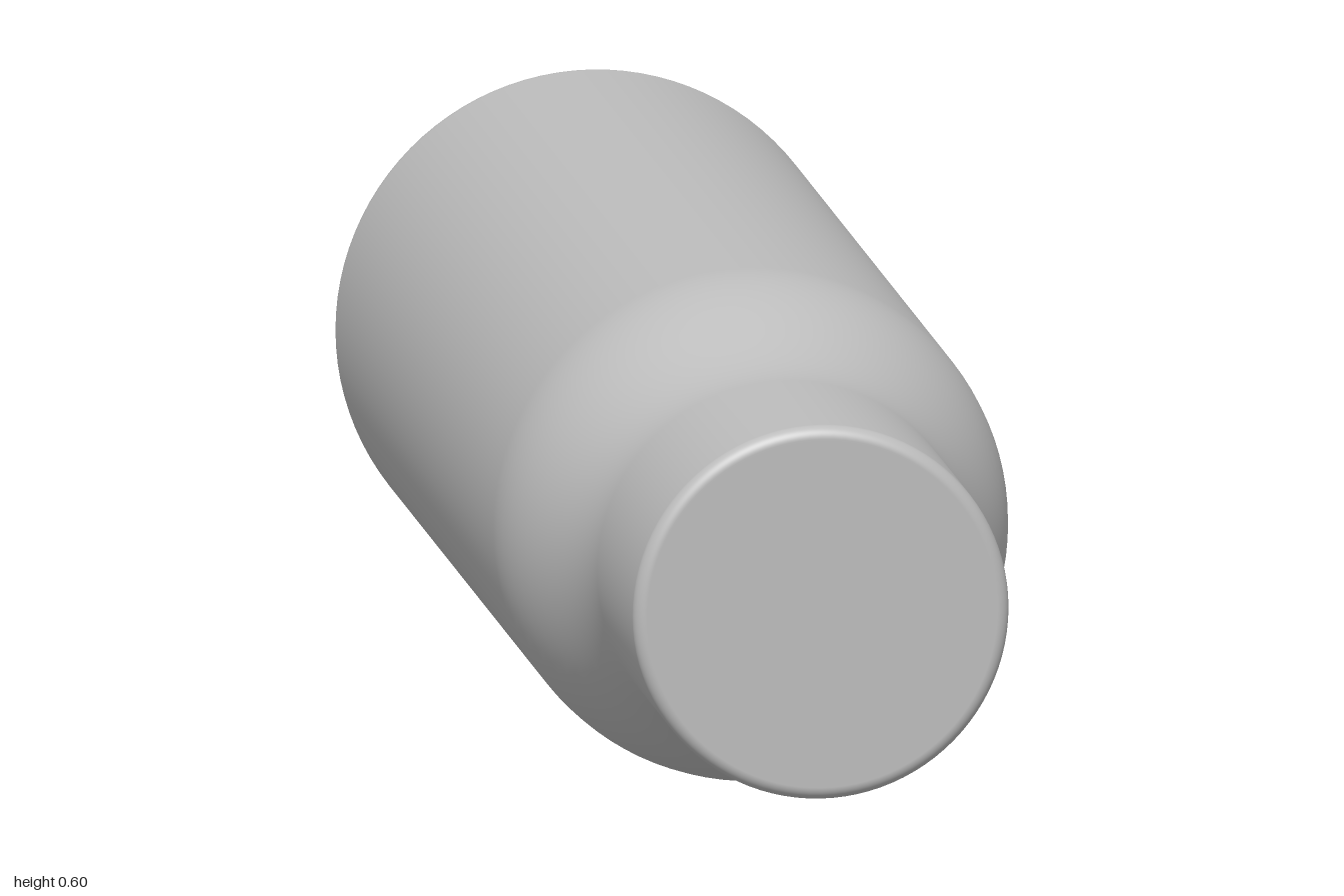
import * as THREE from 'three';

// Profile of radius (x) against length (y), from the closed back end to the front cap
function bodyProfile() {
  const path = new THREE.Path();
  path.moveTo(0, -1);
  path.lineTo(0.222, -1);
  path.absarc(0.225, -0.925, 0.075, -Math.PI / 2, 0, false); // rounded back rim
  path.lineTo(0.3, 0.39);
  path.bezierCurveTo(0.3, 0.52, 0.22, 0.57, 0.22, 0.69); // shoulder down to the neck
  path.lineTo(0.22, 0.985);
  path.absarc(0.205, 0.985, 0.015, 0, Math.PI / 2, false); // small front rim
  path.lineTo(0.202, 1);
  path.lineTo(0, 1);
  return path.getPoints(14);
}

export function createModel() {
  const group = new THREE.Group();
  group.name = 'bottle';

  const grey = new THREE.MeshStandardMaterial({ color: 0xbcbcbc });
  grey.name = 'light grey';

  // Whole bottle lies along z with its neck to the front
  const geometry = new THREE.LatheGeometry(bodyProfile(), 96);
  geometry.rotateX(Math.PI / 2);
  geometry.translate(0, 0.3, 0);

  const body = new THREE.Mesh(geometry, grey);
  body.name = 'bottleBody';
  group.add(body);
  return group;
}
